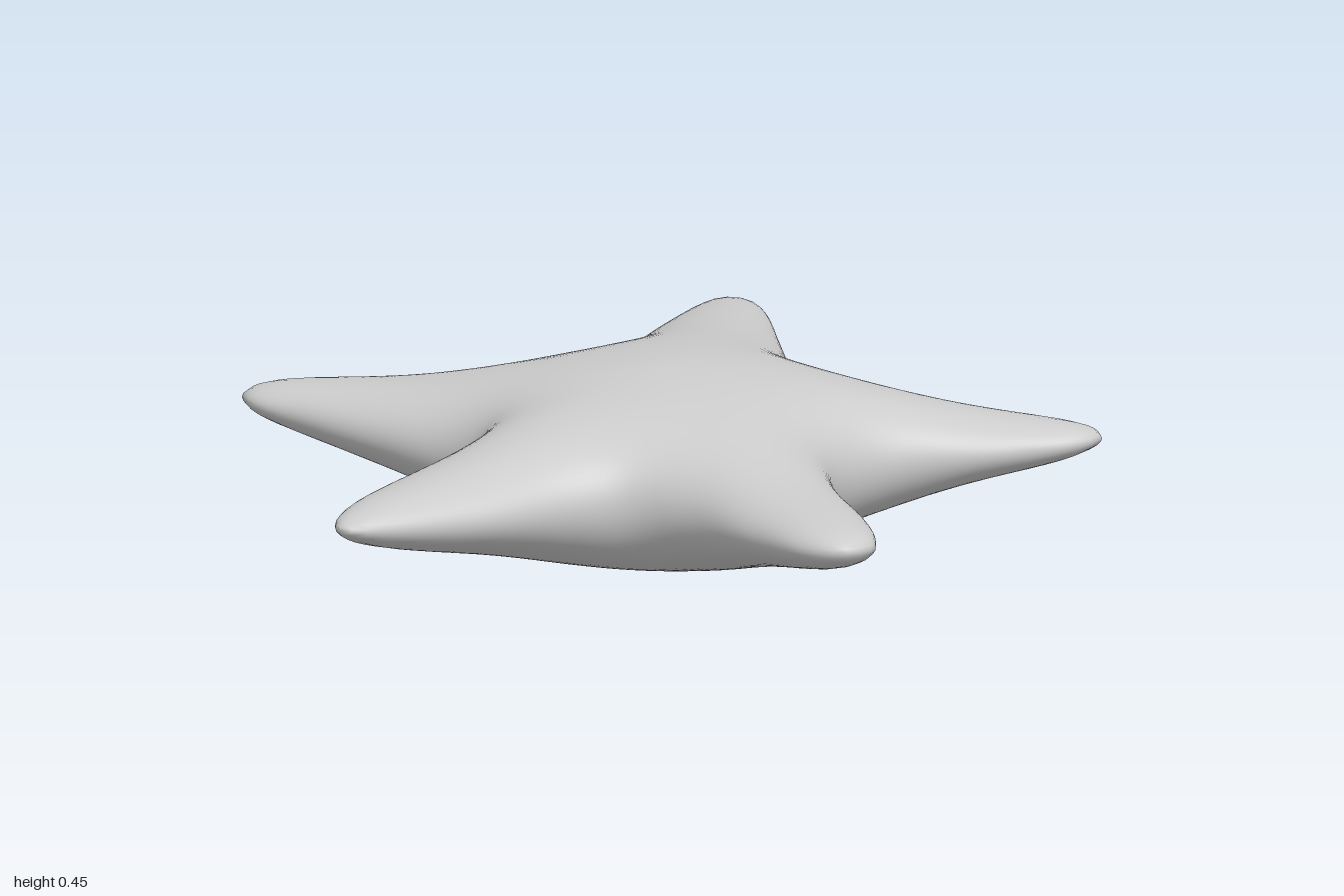
import * as THREE from 'three';

const SEG = 220, RINGS = 20;            // points around the rim, rings from centre to rim
const CX = 0, CZ = 0.08;                // middle of the body
const HALF = 0.225;                     // half thickness at the middle

// Rim seen from above as [x, z], starting at the tip of the back arm
const RIM = [
  // back arm, then the left arm
  [-0.03, -0.97], [0.03, -0.95], [0.07, -0.89], [0.14, -0.69], [0.2, -0.51], [0.26, -0.36], [0.3, -0.29],
  [0.43, -0.24], [0.62, -0.2], [0.86, -0.16], [0.97, -0.125], [1, -0.08], [0.95, -0.02], [0.81, 0.04],
  [0.59, 0.12], [0.49, 0.2], [0.45, 0.31],
  // front arms
  [0.5, 0.49], [0.59, 0.67], [0.64, 0.81], [0.645, 0.89], [0.59, 0.94], [0.5, 0.92], [0.35, 0.79], [0.17, 0.63],
  [0.02, 0.575], [-0.1, 0.62], [-0.29, 0.78], [-0.48, 0.92], [-0.57, 0.96], [-0.6, 0.91], [-0.59, 0.78],
  [-0.5, 0.54], [-0.39, 0.29],
  // right arm and back to the start
  [-0.44, 0.23], [-0.61, 0.145], [-0.85, 0.03], [-0.97, -0.03], [-1, -0.08], [-0.96, -0.14], [-0.8, -0.18],
  [-0.45, -0.2], [-0.29, -0.28], [-0.22, -0.4], [-0.18, -0.61], [-0.12, -0.83], [-0.08, -0.93],
];

// Flat disc of rings filling the rim; rings crowd towards the edge
function flatMesh() {
  const curve = new THREE.CatmullRomCurve3(RIM.map(([x, z]) => new THREE.Vector3(x, 0, z)), true);
  const rim = curve.getSpacedPoints(SEG).slice(0, SEG);
  const points = [[CX, CZ]], tris = [];
  for (let i = 1; i <= RINGS; i++) {
    const s = Math.sin((Math.PI / 2) * (i / RINGS));
    for (const p of rim) points.push([CX + s * (p.x - CX), CZ + s * (p.z - CZ)]);
  }
  const id = (i, j) => 1 + (i - 1) * SEG + (j % SEG);
  for (let j = 0; j < SEG; j++) {
    tris.push([0, id(1, j + 1), id(1, j)]);
    for (let i = 1; i < RINGS; i++) {
      const a = id(i, j), b = id(i, j + 1), c = id(i + 1, j), d = id(i + 1, j + 1);
      tris.push([a, b, c], [b, d, c]);
    }
  }
  return { points, tris };
}

// Inflate the disc like a membrane under pressure: the root of its
// deflection gives round arms that blend into a thicker middle
function inflate({ points, tris }) {
  const n = points.length, inner = n - SEG;
  const links = points.map(() => new Map()), load = new Float64Array(n);
  for (const t of tris) {
    for (let k = 0; k < 3; k++) {
      const a = t[k], b = t[(k + 1) % 3], c = t[(k + 2) % 3];
      const ux = points[a][0] - points[c][0], uz = points[a][1] - points[c][1];
      const vx = points[b][0] - points[c][0], vz = points[b][1] - points[c][1];
      const cross = Math.abs(ux * vz - uz * vx), w = (ux * vx + uz * vz) / cross / 2;
      links[a].set(b, (links[a].get(b) || 0) + w);
      links[b].set(a, (links[b].get(a) || 0) + w);
      load[a] += cross / 6;
    }
  }
  const near = links.map((m) => Int32Array.from(m.keys()));
  const weight = links.map((m) => Float64Array.from(m.values()));
  const total = weight.map((w) => w.reduce((s, x) => s + x, 0));
  const phi = new Float64Array(n);
  for (let pass = 0; pass < 6000; pass++) {
    for (let i = 0; i < inner; i++) {
      let sum = load[i];
      for (let k = 0; k < near[i].length; k++) sum += weight[i][k] * phi[near[i][k]];
      phi[i] += 1.98 * (sum / total[i] - phi[i]);
    }
  }
  const top = phi.reduce((m, x) => Math.max(m, x), 0);
  return Array.from(phi, (x) => HALF * Math.sqrt(Math.max(0, x) / top));
}

export function createModel() {
  const flat = flatMesh(), height = inflate(flat);
  const n = flat.points.length, inner = n - SEG;
  const position = [], index = [];

  // Middle surface lifts gently towards the tips, most at the back
  const middle = ([x, z]) => HALF + 0.045 * ((x - CX) ** 2 + (z - CZ) ** 2) - 0.025 * (z - CZ);
  flat.points.forEach((p, i) => position.push(p[0], middle(p) + height[i], p[1]));
  flat.points.slice(0, inner).forEach((p, i) => position.push(p[0], middle(p) - height[i], p[1]));

  // Upper skin, and the lower skin turned over; both share the rim
  const under = (i) => (i < inner ? n + i : i);
  for (const [a, b, c] of flat.tris) index.push(a, b, c, under(a), under(c), under(b));

  const geometry = new THREE.BufferGeometry();
  geometry.setAttribute('position', new THREE.Float32BufferAttribute(position, 3));
  geometry.setIndex(index);
  geometry.computeVertexNormals();

  const body = new THREE.Mesh(geometry, new THREE.MeshStandardMaterial({ color: 0xcccccc }));
  body.name = 'starfishBody';
  const group = new THREE.Group();
  group.name = 'starfish';
  group.add(body);
  return group;
}
